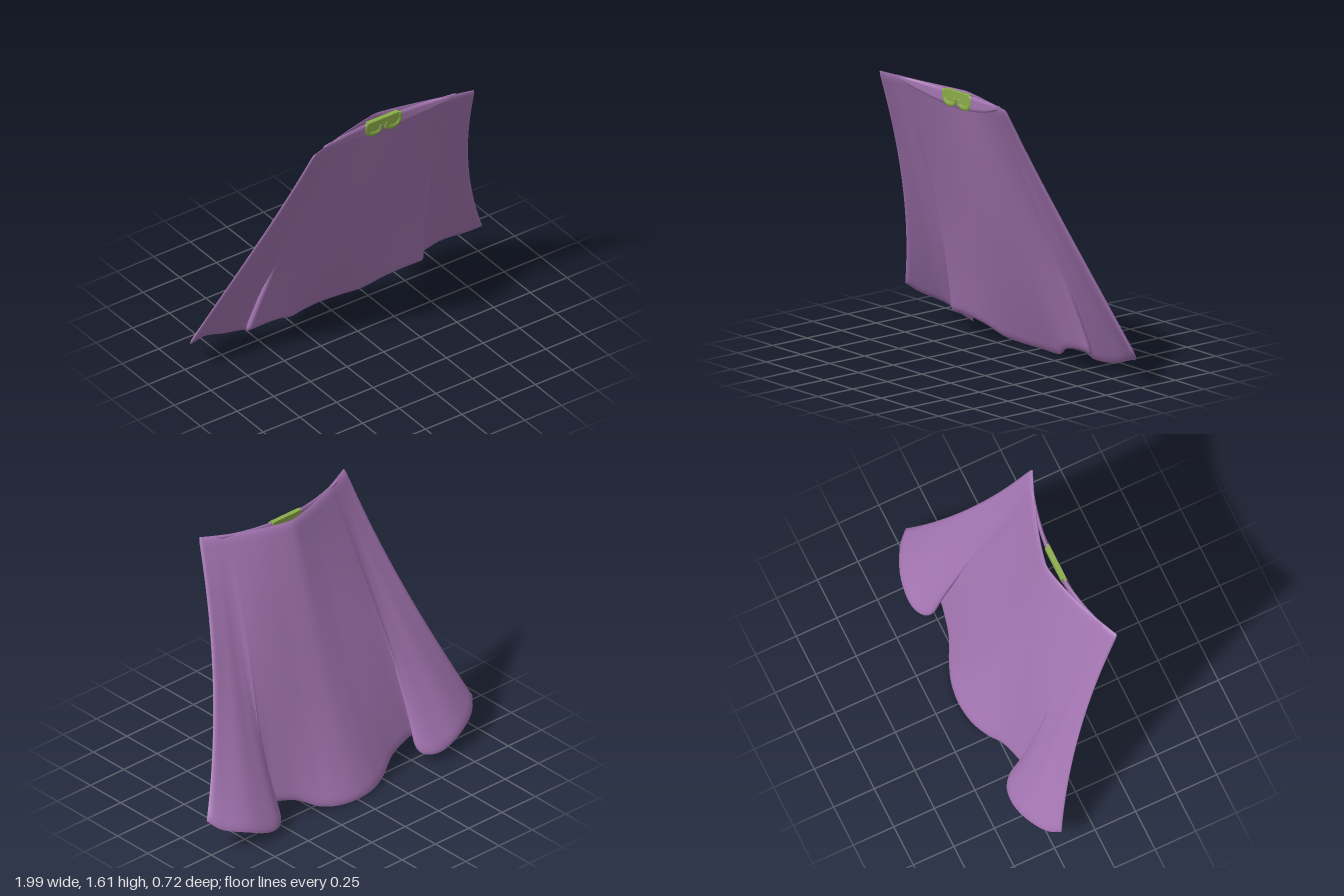
import * as THREE from 'three';

const V = (x, y, z) => new THREE.Vector3(x, y, z);

// Closed cloth: a mid-surface point(u, v), u left to right, v top to bottom,
// thickened along its normals and thinned to a soft edge all round
function makeSheet(point, nu, nv, thickness) {
  const cols = nu + 1, count = cols * (nv + 1), pos = [], half = [], front = [];
  for (let j = 0; j <= nv; j++)
    for (let i = 0; i <= nu; i++) {
      pos.push(...point(i / nu, j / nv).toArray());
      const inset = Math.min(i, nu - i, j, nv - j);
      half.push((thickness / 2) * Math.sqrt(Math.min(1, (inset + 0.15) / 2)));
    }
  for (let j = 0; j < nv; j++)
    for (let i = 0; i < nu; i++) {
      const a = j * cols + i, b = a + 1, c = a + cols, d = c + 1;
      front.push(a, c, b, b, c, d);
    }
  const mid = new THREE.BufferGeometry();
  mid.setAttribute('position', new THREE.Float32BufferAttribute(pos, 3));
  mid.setIndex(front);
  mid.computeVertexNormals();
  const n = mid.attributes.normal.array;
  const offset = (sign) => pos.map((p, k) => p + sign * n[k] * half[Math.floor(k / 3)]);
  const index = [...front];
  for (let k = 0; k < front.length; k += 3)
    index.push(front[k] + count, front[k + 2] + count, front[k + 1] + count);
  // rims joining the two faces
  const rim = (a, b) => index.push(a, b, a + count, b, b + count, a + count);
  for (let i = 0; i < nu; i++) {
    rim(i, i + 1);
    rim(nv * cols + i + 1, nv * cols + i);
  }
  for (let j = 0; j < nv; j++) {
    rim((j + 1) * cols, j * cols);
    rim(j * cols + nu, (j + 1) * cols + nu);
  }
  const g = new THREE.BufferGeometry();
  g.setAttribute('position', new THREE.Float32BufferAttribute([...offset(1), ...offset(-1)], 3));
  g.setIndex(index);
  g.computeVertexNormals();
  return g;
}

// Half profile mirrored across x = 0 into one smooth curve
function mirroredCurve(half) {
  const left = half.slice(1).reverse().map((p) => V(-p.x, p.y, p.z));
  return new THREE.CatmullRomCurve3([...left, ...half], false, 'centripetal');
}

export function createModel() {
  const model = new THREE.Group();
  const purple = new THREE.MeshStandardMaterial({ color: 0xa475b2 });
  purple.name = 'purple cloth';
  const green = new THREE.MeshStandardMaterial({ color: 0x8aab48 });
  green.name = 'green clasp';
  const add = (geometry, material, name, parent = model) => {
    const m = new THREE.Mesh(geometry, material);
    m.name = name;
    parent.add(m);
    return m;
  };

  // Wavy hem with a deep S-shaped fold on each side
  const hem = mirroredCurve([
    V(0, 0.003, -0.358), V(0.13, 0.008, -0.342), V(0.24, 0.03, -0.302), V(0.35, 0.09, -0.25),
    V(0.46, 0.12, -0.222), V(0.55, 0.13, -0.208), V(0.595, 0.12, -0.22), V(0.575, 0.11, -0.247),
    V(0.52, 0.09, -0.268), V(0.53, 0.06, -0.305), V(0.58, 0.048, -0.34), V(0.66, 0.055, -0.354),
    V(0.8, 0.105, -0.335), V(0.94, 0.15, -0.265), V(0.995, 0.2, -0.205),
  ]);
  // Curved neckline, its points matched to those of the hem
  const topX = [0, 0.06, 0.13, 0.2, 0.26, 0.31, 0.345, 0.365, 0.38, 0.395, 0.41, 0.43, 0.46, 0.5, 0.54];
  const neck = mirroredCurve(topX.map((x) => {
    const s = x / 0.54;
    return V(x, 1.577 + 0.032 * s * s, 0.185 + 0.17 * s ** 1.35);
  }));

  // Cape body: a plain flared sheet whose folds deepen towards the hem
  const cape = (u, v) => {
    const a = neck.getPoint(u), b = hem.getPoint(u);
    const plainX = (a.x / 0.54) * 0.995, plainZ = -0.275;
    const fold = v ** 3;
    const shoulder = 1 + 0.04 * Math.sin(Math.PI * Math.sqrt(v));
    return V(
      a.x * shoulder + (plainX - a.x) * v ** 1.5 + (b.x - plainX) * fold,
      a.y + (b.y - a.y) * v,
      a.z + (plainZ - a.z) * v + (b.z - plainZ) * fold,
    );
  };
  add(makeSheet(cape, 176, 84, 0.02), purple, 'cape');

  // Neck strap across the front, standing clear of the cape in the middle
  const strap = (u, v) => {
    const x = (u * 2 - 1) * 0.45, q = (x / 0.42) ** 2;
    const top = 1.578 + 0.018 * q, low = 1.487 + 0.085 * q;
    return V(x, top + (low - top) * v, 0.237 + 0.062 * q);
  };
  add(makeSheet(strap, 60, 10, 0.018), purple, 'neckStrap');

  // Two-piece hooked clasp
  const clasp = new THREE.Group();
  clasp.name = 'clasp';
  model.add(clasp);
  const plate = add(new THREE.BoxGeometry(0.21, 0.045, 0.028), green, 'claspPlate', clasp);
  plate.position.set(0, 1.559, 0.238);
  for (const side of [-1, 1]) {
    const name = side > 0 ? 'left' : 'right';
    const path = new THREE.CatmullRomCurve3([
      [0.112, 1.566], [0.113, 1.535], [0.095, 1.509], [0.055, 1.502], [0.024, 1.512], [0.018, 1.535],
    ].map(([x, y]) => V(side * x, y, 0)));
    const hook = add(new THREE.TubeGeometry(path, 40, 0.016, 10), green, name + 'Hook', clasp);
    hook.scale.z = 0.6;
    hook.position.z = 0.246;
    const web = add(new THREE.BoxGeometry(0.08, 0.04, 0.009), green, name + 'ClaspWeb', clasp);
    web.position.set(side * 0.066, 1.525, 0.246);
    // rounded ends of the hook
    for (const t of [0, 1]) {
      const p = path.getPoint(t);
      const end = add(new THREE.SphereGeometry(0.016, 12, 8), green, name + 'HookEnd', clasp);
      end.position.set(p.x, p.y, 0.246);
      end.scale.z = 0.6;
    }
  }
  return model;
}
